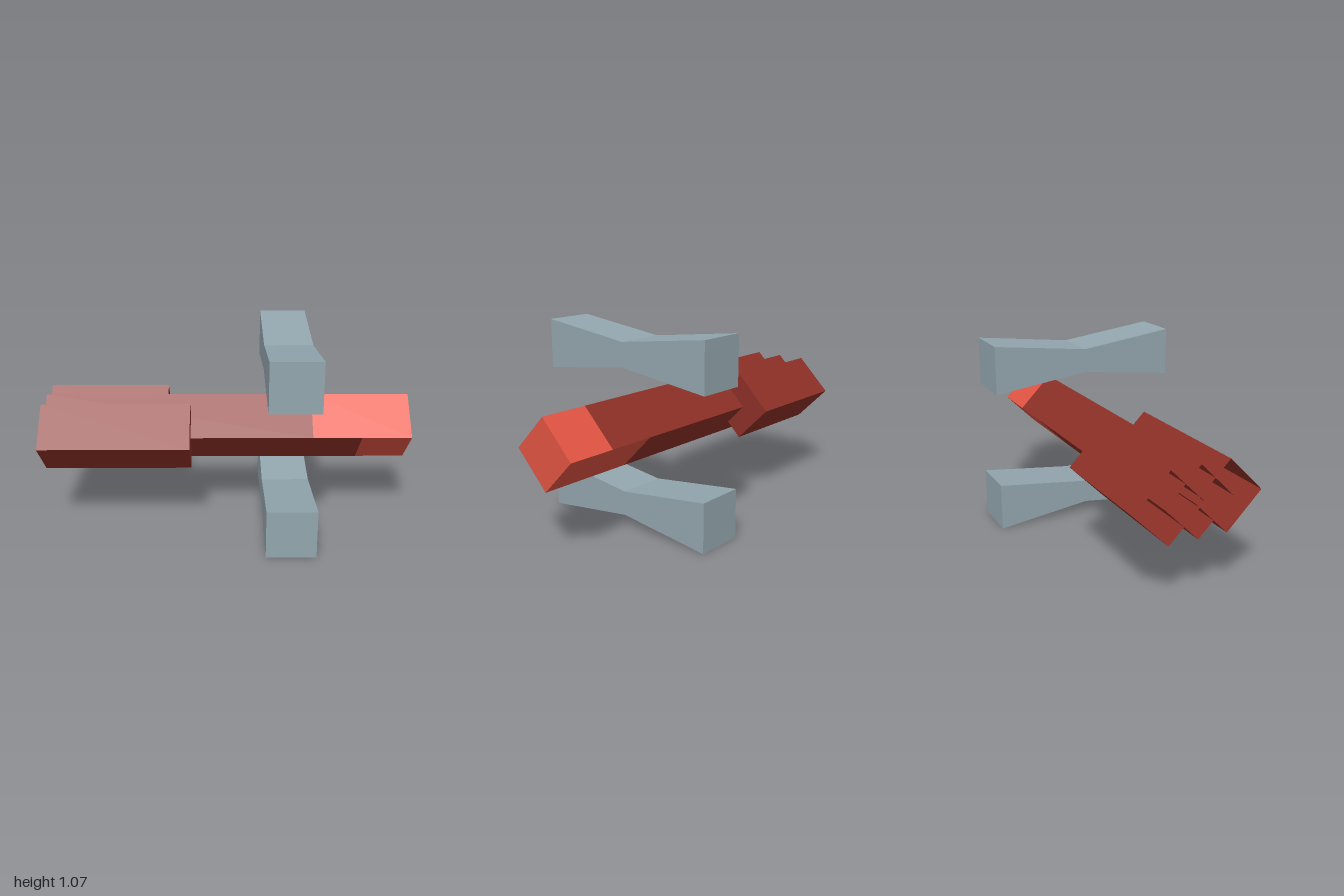
import * as THREE from 'three';

const RADIUS = 0.187; // half diagonal of every diamond tube
const AXIS_Y = 0.535;

export function createModel() {
  const group = new THREE.Group();
  const material = (name, color) =>
    new THREE.MeshStandardMaterial({ name, color, flatShading: true, side: THREE.DoubleSide });
  const darkRed = material('dark red', 0x8d3027);
  const lightRed = material('light red', 0xe25443);
  const grey = material('blue grey', 0x93a6ae);

  const add = (name, geometry, mat, x, y, z) => {
    const mesh = new THREE.Mesh(geometry, mat);
    mesh.name = name;
    mesh.position.set(x, y, z);
    group.add(mesh);
  };

  // One long side of a diamond tube: 0 lower front, 1 lower back, 2 upper back, 3 upper front
  const panel = (name, side, x0, x1, z, mat) => {
    const geometry = new THREE.CylinderGeometry(
      RADIUS, RADIUS, x1 - x0, 1, 1, true, side * Math.PI / 2, Math.PI / 2);
    geometry.rotateZ(-Math.PI / 2);
    add(name, geometry, mat, (x0 + x1) / 2, AXIS_Y, z);
  };

  // Diamond cap facing +x; the tubes stay open at the rear
  const cap = (name, x, z, mat) =>
    add(name, new THREE.CircleGeometry(RADIUS, 4).rotateY(Math.PI / 2), mat, x, AXIS_Y, z);

  // Main hull with a nose whose paint is staggered from side to side
  for (let side = 0; side < 4; side++) {
    const split = side % 2 ? 0.465 : 0.73;
    panel('hullPanel', side, -1, split, 0, darkRed);
    panel('nosePanel', side, split, 1, 0, lightRed);
  }
  cap('noseCap', 1, 0, lightRed);

  // Side tubes, the front one longer than the back one
  for (const [name, end, z] of [['frontTube', -0.2, 0.161], ['backTube', -0.335, -0.161]]) {
    for (let side = 0; side < 4; side++) panel(name + 'Panel', side, -1, end, z, darkRed);
    cap(name + 'Cap', end, z, darkRed);
  }

  // Floating wings, pinched in the middle
  const profile = new THREE.Shape([
    [-0.534, 0], [0, 0.067], [0.534, 0], [0.534, 0.267], [0, 0.2], [-0.534, 0.267],
  ].map(([z, y]) => new THREE.Vector2(z, y)));
  const wing = new THREE.ExtrudeGeometry(profile, { depth: 0.267, bevelEnabled: false });
  wing.rotateY(Math.PI / 2);
  add('lowerWing', wing, grey, 0.199, 0, 0);
  add('upperWing', wing, grey, 0.199, 0.802, 0);

  return group;
}
